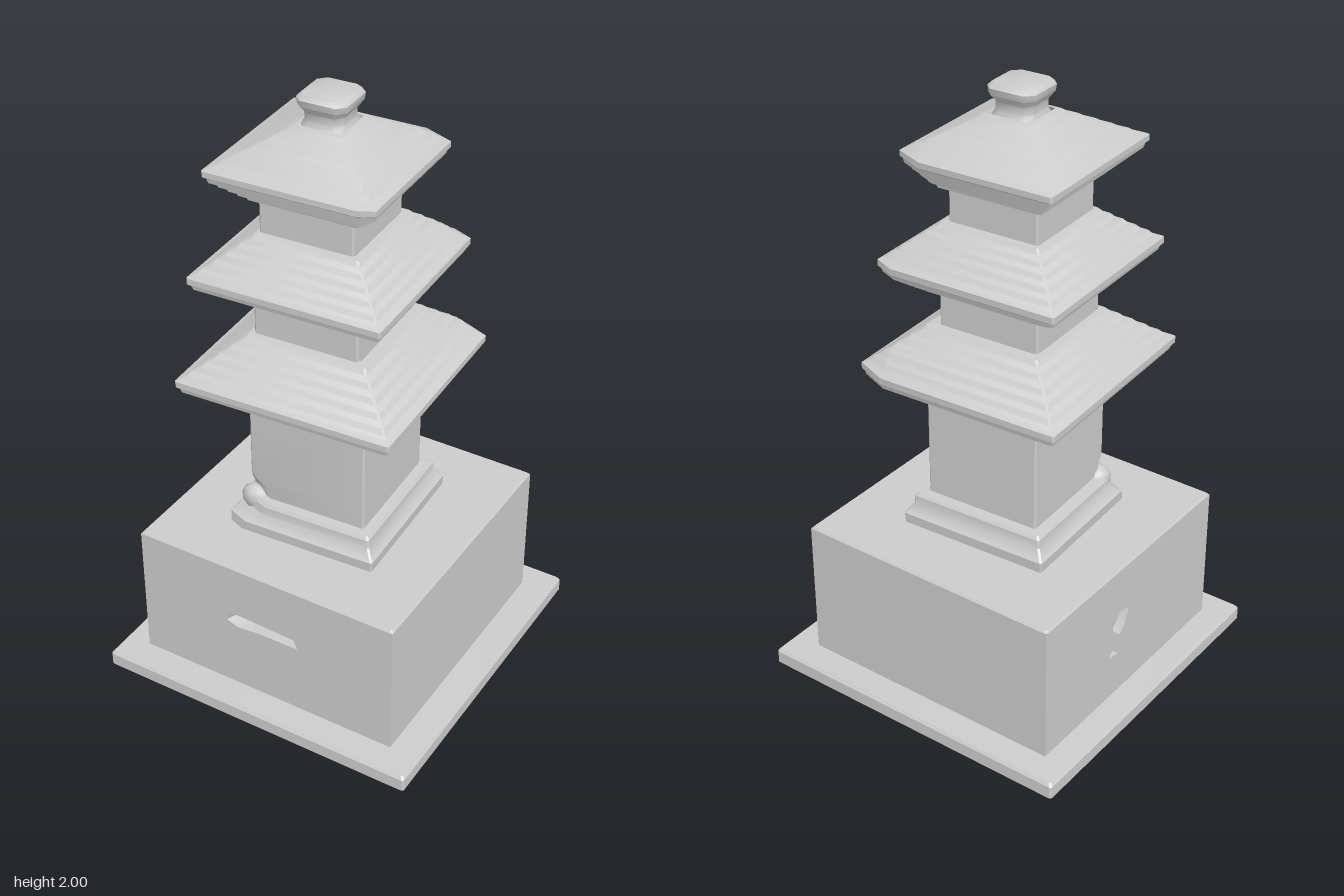
import * as THREE from 'three';
import { toCreasedNormals } from 'three/addons/utils/BufferGeometryUtils.js';

const stone = new THREE.MeshStandardMaterial({ color: 0xcccccc, side: THREE.DoubleSide });

// Square cross-section of half-width h at height y; every corner is cut by its own amount
// Corner order: (-x,+z), (+x,+z), (+x,-z), (-x,-z)
function squareRing(h, y, round = 0.006, chips = [0, 0, 0, 0]) {
  const ring = [];
  [[-1, 1], [1, 1], [1, -1], [-1, -1]].forEach(([sx, sz], k) => {
    const cx = Math.max(round, chips[k]);
    const cz = Math.max(round, chips[k] * 0.45);
    const pair = [
      new THREE.Vector3(sx * h, y, sz * (h - cz)),
      new THREE.Vector3(sx * (h - cx), y, sz * h),
    ];
    ring.push(...(sx * sz < 0 ? pair : pair.reverse()));
  });
  return ring;
}

// Skin over a stack of rings, optionally closed at the end
function loft(name, rings, cap = false, crease = 0.5) {
  const pos = [];
  const tri = (...pts) => pts.forEach((p) => pos.push(p.x, p.y, p.z));
  const n = rings[0].length;
  for (let i = 0; i + 1 < rings.length; i++) {
    for (let k = 0; k < n; k++) {
      const j = (k + 1) % n;
      const [a, b, c, d] = [rings[i][k], rings[i][j], rings[i + 1][j], rings[i + 1][k]];
      tri(a, b, c);
      tri(a, c, d);
    }
  }
  if (cap) {
    const last = rings[rings.length - 1];
    const mid = last.reduce((s, p) => s.add(p), new THREE.Vector3()).divideScalar(n);
    for (let k = 0; k < n; k++) tri(last[k], last[(k + 1) % n], mid);
  }
  const geo = new THREE.BufferGeometry();
  geo.setAttribute('position', new THREE.Float32BufferAttribute(pos, 3));
  const mesh = new THREE.Mesh(toCreasedNormals(geo, crease), stone);
  mesh.name = name;
  return mesh;
}

// Stepped corbels below, a thin eave, and a gently ridged slope above
function roof(name, { inner, under, eave, top, neck, y, chips }) {
  const [y0, y1, y2, y3] = y;
  const profile = [[inner, y0]];
  const steps = 5;
  for (let i = 0; i < steps; i++) {
    const h = THREE.MathUtils.lerp(under, eave - 0.012, i / (steps - 1));
    const dy = (y1 - y0) / steps;
    profile.push([h, y0 + i * dy + 0.003], [h + 0.004, y0 + (i + 1) * dy]);
  }
  profile.push([eave, y1 + 0.006], [eave, y2 - 0.004]);
  const ridges = 5;
  for (let i = 0; i < ridges; i++) {
    const at = (t) => THREE.MathUtils.lerp(eave - 0.008, top, t);
    const up = (t) => THREE.MathUtils.lerp(y2, y3, t);
    profile.push([at(i / ridges), up(i / ridges)], [at((i + 0.6) / ridges), up((i + 0.42) / ridges)]);
  }
  profile.push([top, y3], [neck, y3 + 0.002]);
  const rings = profile.map(([h, py]) => {
    const fade = Math.max(0, 1 - (eave - h) / 0.09);
    return squareRing(h, py, 0.006, chips.map((c) => c * fade));
  });
  return loft(name, rings);
}

// Base wall in its own plane, pierced by a recess
function wall(name, half, y0, y1, outline, depth) {
  const group = new THREE.Group();
  group.name = name;
  const shape = new THREE.Shape([
    new THREE.Vector2(-half, y0), new THREE.Vector2(half, y0),
    new THREE.Vector2(half, y1), new THREE.Vector2(-half, y1),
  ]);
  if (outline) {
    const pts = outline.map(([u, v]) => new THREE.Vector2(u, v));
    shape.holes.push(new THREE.Path(pts));
    const layer = (z, s) => {
      const c = pts.reduce((a, p) => a.add(p), new THREE.Vector2()).divideScalar(pts.length);
      return pts.map((p) => new THREE.Vector3(c.x + (p.x - c.x) * s, c.y + (p.y - c.y) * s, z)).reverse();
    };
    group.add(loft(name + 'Recess', [layer(0, 1), layer(-depth, 0.85)], true));
  }
  const face = new THREE.Mesh(new THREE.ShapeGeometry(shape), stone);
  face.name = name + 'Face';
  group.add(face);
  return group;
}

export function createModel() {
  const model = new THREE.Group();
  model.name = 'stonePagoda';

  // Thin ground slab, open in the middle
  model.add(loft('groundSlab', [
    [0.475, 0.004], [0.55, 0], [0.556, 0.008], [0.556, 0.05], [0.548, 0.06], [0.45, 0.062],
  ].map(([h, y]) => squareRing(h, y))));

  // Hollow base block: four walls, the front one slotted, one side broken through
  const half = 0.461;
  const slot = [[-0.14, 0.315], [-0.13, 0.35], [-0.04, 0.348], [0.11, 0.342], [0.122, 0.31], [-0.03, 0.308], [-0.1, 0.3]];
  const breach = [[-0.12, 0.22], [-0.09, 0.25], [-0.1, 0.33], [-0.06, 0.37], [-0.01, 0.36], [-0.03, 0.31], [-0.06, 0.28], [-0.07, 0.21]];
  const base = new THREE.Group();
  base.name = 'baseBlock';
  const sides = [['frontWall', slot, 0.04], ['leftWall'], ['backWall'], ['rightWall', breach, 0.05]];
  sides.forEach(([name, outline, depth], i) => {
    const side = wall(name, half, 0.055, 0.53, outline, depth);
    const a = (i * Math.PI) / 2;
    side.rotation.y = a;
    side.position.set(Math.sin(a) * half, 0, Math.cos(a) * half);
    base.add(side);
  });
  base.add(loft('baseTop', [
    squareRing(half, 0.53, 0.002), squareRing(half - 0.006, 0.537), squareRing(0.235, 0.538),
  ]));
  base.position.x = -0.006;
  model.add(base);

  // The tower stands slightly twisted on its base
  const tier = (name, x, z, ...parts) => {
    const group = new THREE.Group();
    group.name = name;
    group.position.set(x, 0, z);
    group.rotation.y = 0.055;
    group.add(...parts);
    model.add(group);
  };
  const body = (name, h, y0, y1) => loft(name, [squareRing(h, y0), squareRing(h, y1)]);

  // Broken corner of the footing and shaft, with a loose lump of stone
  const rubble = new THREE.Mesh(new THREE.IcosahedronGeometry(0.055, 1), stone);
  rubble.name = 'rubble';
  rubble.scale.set(0.9, 1.2, 0.8);
  rubble.rotation.set(0.4, 0.3, 0.5);
  rubble.position.set(-0.185, 0.615, 0.175);

  tier('lowerTier', -0.01, 0.012,
    loft('footing', [
      [0.258, 0.535, 0.05], [0.26, 0.572, 0.07], [0.252, 0.58, 0.08],
      [0.236, 0.605, 0.09], [0.234, 0.632, 0.1], [0.226, 0.642, 0.1], [0.195, 0.646, 0.07],
    ].map(([h, y, c]) => squareRing(h, y, 0.006, [c, 0, 0, 0]))),
    loft('shaft', [[0.64, 0.07], [0.68, 0.055], [0.71, 0.02], [0.74, 0], [1.004, 0]]
      .map(([y, c]) => squareRing(0.2, y, 0.006, [c, 0, 0, 0]))),
    rubble,
    roof('lowerRoof', {
      inner: 0.2, under: 0.235, eave: 0.361, top: 0.2, neck: 0.172,
      y: [1.0, 1.09, 1.12, 1.24], chips: [0, 0, 0.11, 0],
    }));

  tier('middleTier', -0.018, 0.018,
    body('middleBody', 0.175, 1.235, 1.36),
    roof('middleRoof', {
      inner: 0.175, under: 0.205, eave: 0.317, top: 0.17, neck: 0.152,
      y: [1.355, 1.44, 1.47, 1.58], chips: [0, 0, 0.07, 0],
    }));

  tier('upperTier', -0.023, 0.019,
    body('upperBody', 0.155, 1.575, 1.695),
    roof('upperRoof', {
      inner: 0.155, under: 0.18, eave: 0.272, top: 0.085, neck: 0.07,
      y: [1.69, 1.78, 1.808, 1.905], chips: [0, 0.05, 0.1, 0],
    }),
    // Flared finial
    loft('finial', [
      [0.072, 1.9], [0.064, 1.92], [0.064, 1.945], [0.079, 1.968], [0.081, 1.988], [0.07, 2.0],
    ].map(([h, y]) => squareRing(h, y, 0.024)), true, 0.8));

  return model;
}
